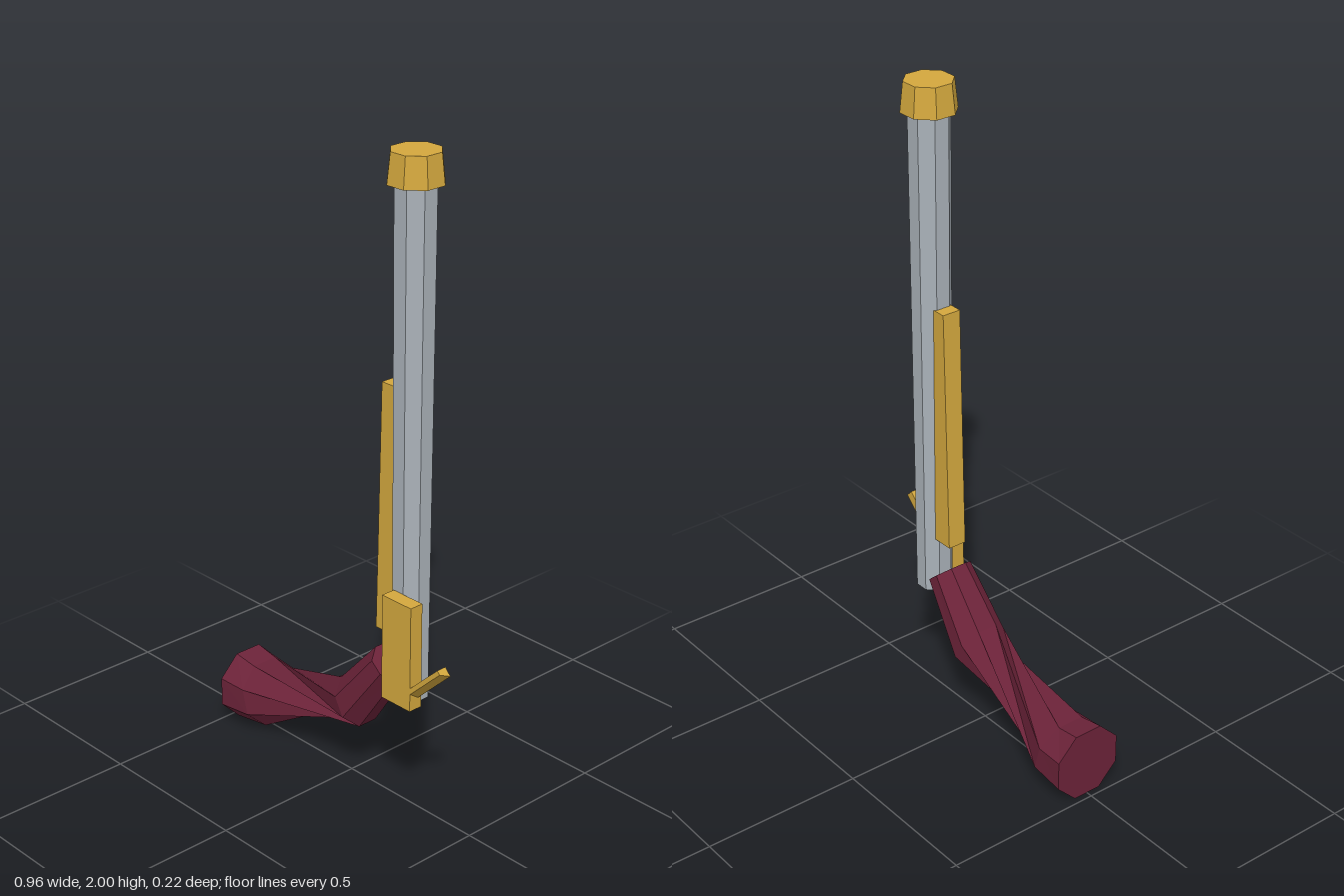
import * as THREE from 'three';

const flat = (name, color) => {
  const m = new THREE.MeshStandardMaterial({ color, flatShading: true });
  m.name = name;
  return m;
};

// Lofts eight-sided rings along the stock; turn shifts the ring joints to twist the wood.
function loftStock(rings) {
  const sides = 8;
  const loops = rings.map(({ up, low, halfWidth, turn }) => {
    const cx = (up[0] + low[0]) / 2, cy = (up[1] + low[1]) / 2;
    const k = Math.cos(Math.PI / sides);
    const dx = (up[0] - low[0]) / 2 / k, dy = (up[1] - low[1]) / 2 / k;
    return Array.from({ length: sides }, (_, i) => {
      const a = ((i + turn + 0.5) / sides) * Math.PI * 2;
      return [cx + dx * Math.cos(a), cy + dy * Math.cos(a), (halfWidth / k) * Math.sin(a)];
    });
  });
  const pos = [];
  const tri = (a, b, c) => pos.push(...a, ...b, ...c);
  for (let r = 0; r < loops.length - 1; r++) {
    const a = loops[r], b = loops[r + 1];
    for (let i = 0; i < sides; i++) {
      const j = (i + 1) % sides;
      tri(a[i], a[j], b[j]);
      tri(a[i], b[j], b[i]);
    }
  }
  // End caps
  const first = loops[0], last = loops[loops.length - 1];
  for (let i = 1; i < sides - 1; i++) {
    tri(first[0], first[i + 1], first[i]);
    tri(last[0], last[i], last[i + 1]);
  }
  const g = new THREE.BufferGeometry();
  g.setAttribute('position', new THREE.Float32BufferAttribute(pos, 3));
  g.computeVertexNormals();
  return g;
}

// Extrudes an outline of [x, y] points, without bevels
function prism(points, depth) {
  const shape = new THREE.Shape(points.map(([x, y]) => new THREE.Vector2(x, y)));
  return new THREE.ExtrudeGeometry(shape, { depth, bevelEnabled: false });
}

function octagonTube(top, bottom, y0, y1) {
  const k = Math.cos(Math.PI / 8);
  const g = new THREE.CylinderGeometry(top / k, bottom / k, y1 - y0, 8);
  return g.rotateY(Math.PI / 8).translate(0.248, (y0 + y1) / 2, 0);
}

export function createModel() {
  const model = new THREE.Group();
  model.name = 'flintlock';
  const gold = flat('brass', 0xd4a83e);
  const steel = flat('steel', 0xaab2b9);
  const wood = flat('darkRedWood', 0x6c2339);

  const add = (name, geometry, material) => {
    const mesh = new THREE.Mesh(geometry, material);
    mesh.name = name;
    model.add(mesh);
    return mesh;
  };

  // Barrel and muzzle ring
  add('barrel', octagonTube(0.058, 0.052, 0.37, 1.93), steel);
  add('muzzleCap', octagonTube(0.068, 0.077, 1.91, 2), gold);

  // Curved, twisted stock
  add('stock', loftStock([
    { up: [-0.48, 0.223], low: [-0.48, 0.002], halfWidth: 0.11, turn: 0 },
    { up: [-0.4, 0.21], low: [-0.35, 0.02], halfWidth: 0.104, turn: 0 },
    { up: [-0.01, 0.33], low: [0.068, 0.192], halfWidth: 0.08, turn: 2 },
    { up: [0.13, 0.485], low: [0.215, 0.41], halfWidth: 0.065, turn: 2 },
  ]), wood);

  // Tapered rib along the barrel
  add('barrelRib', prism([[0.135, 0.555], [0.21, 0.555], [0.21, 1.325], [0.154, 1.325]], 0.06)
    .translate(0, 0, -0.03), gold);

  // Lock plate on the front side
  add('lockPlate', new THREE.BoxGeometry(0.116, 0.33, 0.045).translate(0.292, 0.555, 0.0785), gold);

  // Slanted lever with a chamfered underside
  const lever = add('lever', prism([[-0.1, -0.015], [-0.068, 0.015], [-0.1, 0.015], [-0.1, 0.001]]
    .map(([z, n], i) => [[-0.068, -0.015], [-0.068, 0.015], [-0.1, 0.015], [-0.1, 0.001]][i]), 0.19)
    .rotateY(Math.PI / 2), gold);
  lever.rotation.z = 0.76;
  lever.position.set(0.329, 0.425, 0);

  return model;
}
